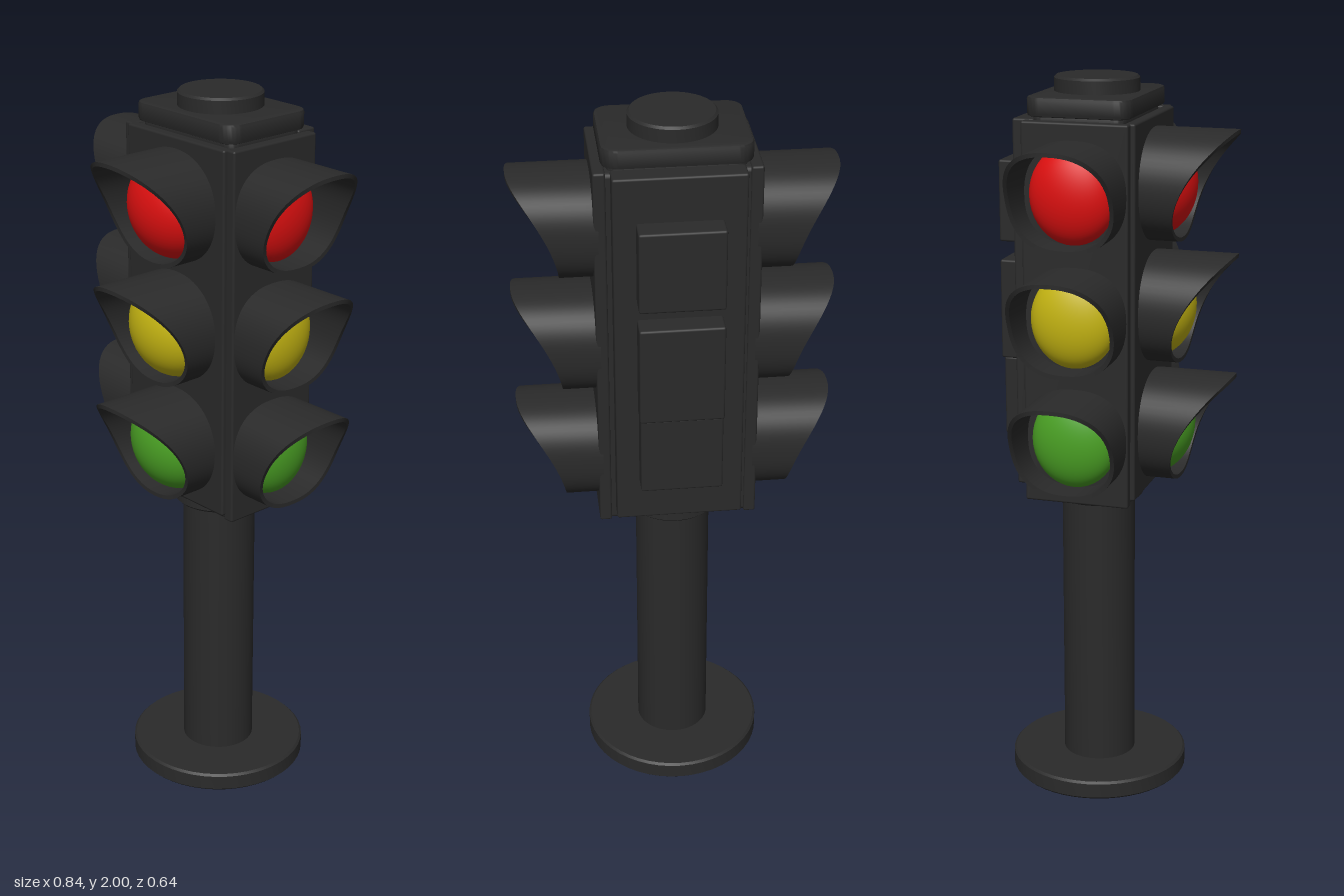
import * as THREE from 'three';
import { toCreasedNormals } from 'three/addons/utils/BufferGeometryUtils.js';
import { RoundedBoxGeometry } from 'three/addons/geometries/RoundedBoxGeometry.js';

const mat = (name, color) => new THREE.MeshStandardMaterial({ name, color });
const AXIS_Z = -0.07; // pole and housing axis

// Hood shell facing +z: superellipse tube whose mouth reaches further at the top
function hoodGeometry({ rx, ry, power, reach }) {
  const N = 56, wall = 0.011, pos = [], index = [];
  const profile = [[0, -0.01], [0, 1], [wall, 1], [wall, -0.01]]; // inset, depth
  for (const [inset, depth] of profile) {
    for (let i = 0; i < N; i++) {
      const t = (i / N) * Math.PI * 2, c = Math.cos(t), s = Math.sin(t);
      const px = Math.sign(c) * Math.abs(c) ** (2 / power);
      const py = Math.sign(s) * Math.abs(s) ** (2 / power);
      const mouth = reach[0] + reach[1] * py + reach[2] * py * py;
      pos.push(px * (rx - inset), py * (ry - inset), depth === 1 ? mouth : depth);
    }
  }
  for (let j = 0; j < profile.length - 1; j++) {
    for (let i = 0; i < N; i++) {
      const k = (i + 1) % N, a = j * N, b = a + N;
      index.push(a + i, a + k, b + k, a + i, b + k, b + i);
    }
  }
  const g = new THREE.BufferGeometry();
  g.setAttribute('position', new THREE.Float32BufferAttribute(pos, 3));
  g.setIndex(index);
  return toCreasedNormals(g, 0.7);
}

// Flat slab with rounded corners in plan, rising from y = 0
function slabGeometry(w, d, h, r) {
  const bevel = 0.008, x = w / 2 - bevel, y = d / 2 - bevel;
  const s = new THREE.Shape();
  s.moveTo(-x + r, -y);
  s.lineTo(x - r, -y);
  s.absarc(x - r, -y + r, r, -Math.PI / 2, 0);
  s.absarc(x - r, y - r, r, 0, Math.PI / 2);
  s.absarc(-x + r, y - r, r, Math.PI / 2, Math.PI);
  s.absarc(-x + r, -y + r, r, Math.PI, Math.PI * 1.5);
  const g = new THREE.ExtrudeGeometry(s, {
    depth: h - 2 * bevel, bevelSize: bevel, bevelThickness: bevel, bevelSegments: 2, curveSegments: 6,
  });
  g.translate(0, 0, bevel).rotateX(-Math.PI / 2);
  return toCreasedNormals(g, 0.6);
}

export function createModel() {
  const model = new THREE.Group();
  model.name = 'trafficLight';
  const dark = mat('charcoal', 0x2a2a2a);
  const lampColours = [mat('red', 0xde1010), mat('yellow', 0xc4b412), mat('green', 0x4aa024)];

  const add = (name, geometry, x, y, z, material = dark, parent = model) => {
    const m = new THREE.Mesh(geometry, material);
    m.name = name;
    m.position.set(x, y, z);
    parent.add(m);
    return m;
  };
  // Box given by its limits
  const box = (name, x0, x1, y0, y1, z0, z1, r = 0.006) =>
    add(name, new RoundedBoxGeometry(x1 - x0, y1 - y0, z1 - z0, 2, r),
      (x0 + x1) / 2, (y0 + y1) / 2, (z0 + z1) / 2);
  // Turned part with softened rims
  const disc = (name, r, y0, y1, e = 0.006) => {
    const pts = [[0, y0], [r - e, y0], [r, y0 + e], [r, y1 - e], [r - e, y1], [0, y1]];
    const g = new THREE.LatheGeometry(pts.map(p => new THREE.Vector2(...p)), 48);
    return add(name, toCreasedNormals(g, 0.5), 0, 0, AXIS_Z);
  };

  // Stand
  disc('base', 0.25, 0, 0.053);
  disc('pole', 0.102, 0.04, 0.84);
  disc('collar', 0.125, 0.835, 0.885);

  // Housing: core with a raised panel on each face
  box('housingCore', -0.195, 0.195, 0.87, 1.895, -0.205, 0.075, 0.012);
  box('frontPanel', -0.187, 0.187, 0.885, 1.9, 0.06, 0.09);
  for (const s of [-1, 1]) {
    const panel = box('sidePanel', 0.18, 0.212, 0.87, 1.9, -0.212, 0.078);
    panel.position.x *= s;
  }
  box('backPanel', -0.168, 0.168, 0.9, 1.9, -0.25, -0.19);
  box('upperBackBox', -0.11, 0.11, 1.56, 1.78, -0.312, -0.24);
  box('middleBackBox', -0.11, 0.11, 1.237, 1.51, -0.312, -0.24);
  box('lowerBackBox', -0.108, 0.108, 1.02, 1.24, -0.305, -0.24);

  // Roof
  add('roofNeck', slabGeometry(0.35, 0.25, 0.04, 0.02), 0, 1.875, AXIS_Z);
  add('roofCap', slabGeometry(0.38, 0.285, 0.052, 0.035), 0, 1.907, AXIS_Z);
  disc('roofButton', 0.114, 1.95, 2.0);

  // Lamps: domed lens under a flared hood
  const dome = new THREE.SphereGeometry(1, 40, 16, 0, Math.PI * 2, 0, Math.PI / 2).rotateX(Math.PI / 2);
  const faces = [
    { name: 'front', x: 0, z: 0.09, turn: 0, lens: [0.141, 0.141, 0.113], lift: 0,
      hood: { rx: 0.157, ry: 0.15, power: 2.15, reach: [0.11, 0.073, 0.044] } },
    ...[-1, 1].map(s => ({
      name: s > 0 ? 'left' : 'right', x: s * 0.21, z: AXIS_Z, turn: s * Math.PI / 2,
      lens: [0.118, 0.131, 0.07], lift: -0.006,
      hood: { rx: 0.144, ry: 0.141, power: 2.4, reach: [0.119, 0.062, 0.031] },
    })),
  ];
  for (const f of faces) {
    const hood = hoodGeometry(f.hood);
    lampColours.forEach((colour, i) => {
      const lamp = new THREE.Group();
      lamp.name = `${f.name}${['Red', 'Yellow', 'Green'][i]}Lamp`;
      lamp.position.set(f.x, 1.72 - i * 0.331 + f.lift, f.z);
      lamp.rotation.y = f.turn;
      add('hood', hood, 0, 0, 0, dark, lamp);
      add('lens', dome, 0, 0, 0, colour, lamp).scale.set(...f.lens);
      model.add(lamp);
    });
  }
  return model;
}
